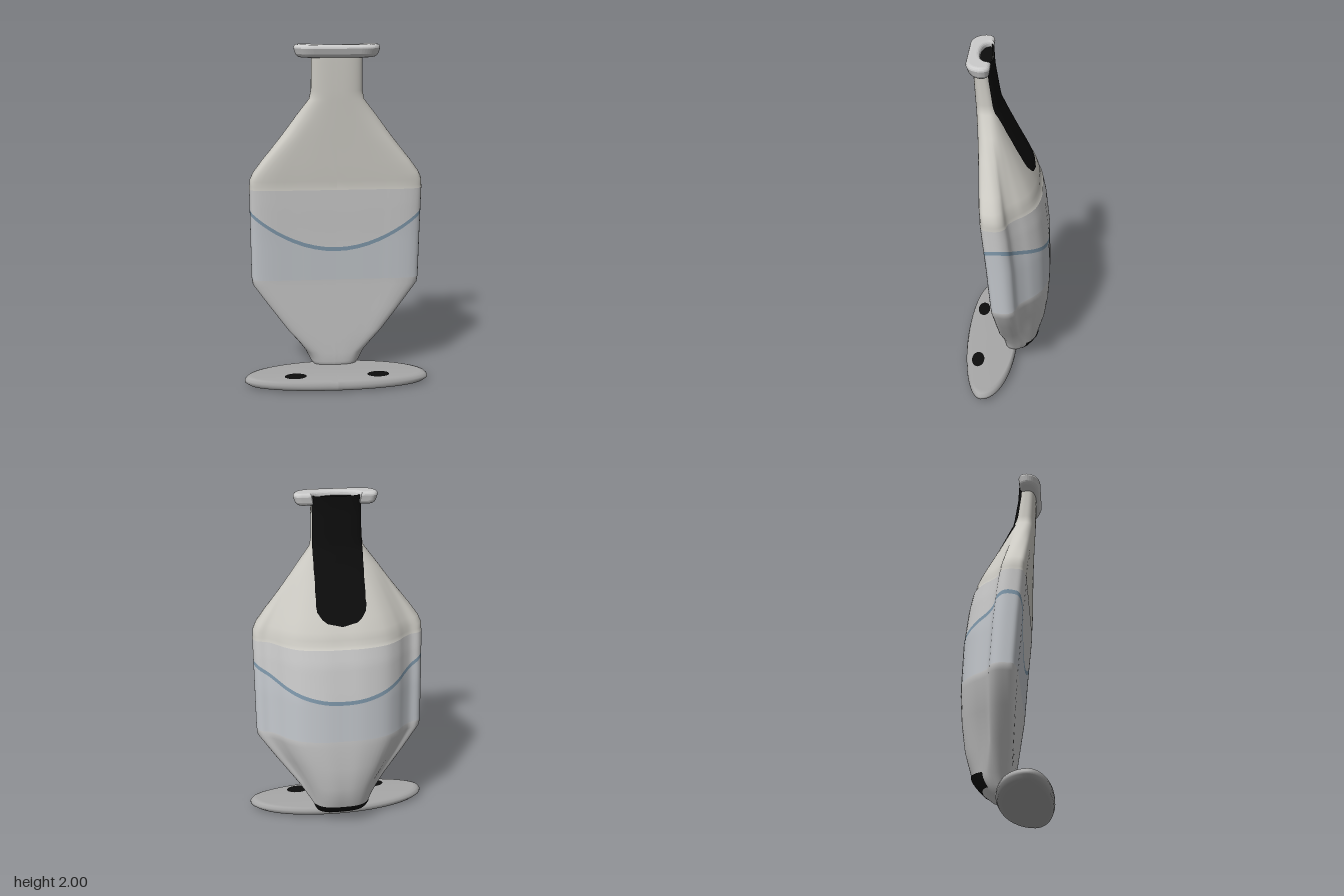
import * as THREE from 'three';

const DARK = 0x0c0c0c;
const COLS = 96;

// Height, half width, front z and back z of the vessel
const PROFILE = [
  [0.04, 0.002, -0.03, -0.034], [0.05, 0.12, 0.01, -0.09], [0.09, 0.15, 0.02, -0.14],
  [0.15, 0.18, 0.03, -0.19], [0.3, 0.281, 0.045, -0.23], [0.45, 0.385, 0.06, -0.248],
  [0.6, 0.485, 0.075, -0.255], [0.64, 0.49, 0.08, -0.255], [0.9, 0.49, 0.102, -0.245],
  [1.1, 0.49, 0.122, -0.22], [1.19, 0.49, 0.13, -0.2], [1.21, 0.488, 0.129, -0.185],
  [1.24, 0.486, 0.131, -0.18], [1.28, 0.468, 0.135, -0.165], [1.35, 0.42, 0.14, -0.13],
  [1.5, 0.305, 0.152, -0.05], [1.6, 0.23, 0.16, 0.0], [1.7, 0.152, 0.168, 0.04],
  [1.75, 0.142, 0.172, 0.05], [1.9, 0.14, 0.18, 0.075], [1.97, 0.14, 0.182, 0.08],
  [1.975, 0.002, 0.13, 0.128],
];

// Half outline: flat front, upright side panel, bulging back
const HALF = [[0, 0], [0.5, 0], [0.86, 0.01], [0.97, 0.06], [1, 0.17], [1, 0.32], [0.95, 0.42],
  [0.85, 0.47], [0.76, 0.58], [0.66, 0.74], [0.5, 0.9], [0.25, 0.99], [0, 1]];
const OUTLINE = new THREE.CatmullRomCurve3(
  [...HALF, ...HALF.slice(1, -1).reverse().map(([x, t]) => [-x, t])]
    .map(([x, t]) => new THREE.Vector3(x, t, 0)), true);

function profileAt(y) {
  let i = 1;
  while (i < PROFILE.length - 1 && PROFILE[i][0] < y) i++;
  const a = PROFILE[i - 1], b = PROFILE[i];
  const k = THREE.MathUtils.clamp((y - a[0]) / (b[0] - a[0]), 0, 1);
  return a.map((v, j) => v + (b[j] - v) * k);
}

// Point on the vessel: u runs round from the front centre, y is height
function surface(u, y, lift = 0) {
  const [, w, front, back] = profileAt(y);
  const p = OUTLINE.getPoint(((u % 1) + 1) % 1);
  // the shoulder and foot turn into a rounded oval
  const oval = Math.max(THREE.MathUtils.smoothstep(y, 1.25, 1.72), 1 - THREE.MathUtils.smoothstep(y, 0.08, 0.3));
  const s = Math.sin(u * Math.PI * 2), c = Math.cos(u * Math.PI * 2);
  const soft = (v) => Math.sign(v) * Math.pow(Math.abs(v), 0.7);
  const x = THREE.MathUtils.lerp(p.x, soft(s), oval);
  const t = THREE.MathUtils.lerp(p.y, (1 - soft(c)) / 2, oval);
  return [x * (w + lift), y, front + (back - front) * t - lift * 2 * (t - 0.4)];
}

function mesh(name, geometry, color = 0xcccccc, side = THREE.FrontSide) {
  const m = new THREE.Mesh(geometry, new THREE.MeshStandardMaterial({ color, side }));
  m.name = name;
  return m;
}

// Grid skin from a function of column and row fractions
function skin(cols, rows, pointAt) {
  const pos = [], index = [];
  for (let r = 0; r <= rows; r++) {
    for (let c = 0; c <= cols; c++) {
      pos.push(...pointAt(c / cols, r));
      if (r < rows && c < cols) {
        const a = r * (cols + 1) + c, d = a + cols + 1;
        index.push(a, a + 1, d, a + 1, d + 1, d);
      }
    }
  }
  const g = new THREE.BufferGeometry();
  g.setAttribute('position', new THREE.Float32BufferAttribute(pos, 3));
  g.setIndex(index);
  g.computeVertexNormals();
  return g;
}

// Rows between two heights, either of which may vary round the vessel
const band = (low, high, rows) => skin(COLS, rows, (u, r) => surface(u, THREE.MathUtils.lerp(low(u), high(u), r / rows)));
const level = (y) => () => y;

// Painted line dips at the front and the back
function lineY(u) {
  const x = OUTLINE.getPoint(u % 1).x;
  const low = u < 0.21 || u > 0.79 ? 0.83 : 0.88;
  return low + (1.05 - low) * x * x;
}

function roundedLip() {
  const s = new THREE.Shape();
  s.moveTo(-0.15, 0.1);
  s.lineTo(-0.19, 0.1);
  s.quadraticCurveTo(-0.215, 0.1, -0.215, 0.13);
  s.quadraticCurveTo(-0.205, 0.185, -0.13, 0.19);
  s.lineTo(0.13, 0.19);
  s.quadraticCurveTo(0.205, 0.185, 0.215, 0.13);
  s.quadraticCurveTo(0.215, 0.1, 0.19, 0.1);
  s.lineTo(0.15, 0.1);
  s.quadraticCurveTo(0.13, 0.165, 0, 0.165);
  s.quadraticCurveTo(-0.13, 0.165, -0.15, 0.1);
  const g = new THREE.ExtrudeGeometry(s, {
    depth: 0.03, bevelThickness: 0.02, bevelSize: 0.02, bevelSegments: 4, curveSegments: 10,
  });
  g.rotateX(Math.PI / 2).translate(0, 1.98, 0);
  // the underside draws in toward the neck
  const p = g.attributes.position;
  for (let i = 0; i < p.count; i++) {
    const k = THREE.MathUtils.clamp((1.97 - p.getY(i)) / 0.04, 0, 1);
    p.setX(i, p.getX(i) * (1 - 0.08 * k));
    p.setZ(i, THREE.MathUtils.lerp(p.getZ(i), 0.12, 0.25 * k));
  }
  g.computeVertexNormals();
  return g;
}

function footPlate() {
  const points = [[0, 0], [0.8, 0.004], [0.95, 0.012], [1, 0.03], [1, 0.045], [0.97, 0.062], [0.92, 0.068], [0, 0.07]];
  const g = new THREE.LatheGeometry(points.map(([r, y]) => new THREE.Vector2(r, y)), 64);
  // a wide oval, deeper behind its widest line than in front
  const p = g.attributes.position;
  for (let i = 0; i < p.count; i++) {
    const z = p.getZ(i);
    p.setXYZ(i, p.getX(i) * 0.545, p.getY(i), 0.13 + z * (z > 0 ? 0.125 : 0.19));
  }
  g.computeVertexNormals();
  return g;
}

// Dark strip down the back of the neck, with a rounded lower end
function backStrip() {
  const rows = 36, low = 1.31, high = 1.985;
  return skin(16, rows, (c, r) => {
    const y = THREE.MathUtils.lerp(low, high, r / rows);
    const end = Math.min(1, (y - low) / 0.1);
    const reach = Math.min(0.135, profileAt(Math.min(y, 1.96))[1] * 0.93) * Math.sqrt(end * (2 - end));
    let du = 0;
    while (du < 0.22 && Math.abs(surface(0.5 - du, Math.min(y, 1.96))[0]) < reach) du += 0.002;
    const [x, , z] = surface(0.5 + (c * 2 - 1) * du, Math.min(y, 1.96), 0.006);
    return [x, y, z];
  });
}

export function createModel() {
  const model = new THREE.Group();
  model.name = 'vase';

  // Vessel in stacked painted bands
  const base = PROFILE.slice(0, 8).map((p) => p[0]);
  model.add(mesh('lowerBody', skin(COLS, base.length - 1, (u, r) => surface(u, base[r])), 0xc6c6c6));
  model.add(mesh('middleBody', band(level(0.64), (u) => lineY(u) - 0.012, 10), 0xc2c6cb));
  model.add(mesh('paintedLine', band((u) => lineY(u) - 0.012, (u) => lineY(u) + 0.012, 2), 0x8099ac));
  model.add(mesh('upperBody', band((u) => lineY(u) + 0.012, level(1.19), 10), 0xcbcbc8));
  const top = PROFILE.slice(10, -1).map((p) => p[0]);
  model.add(mesh('shoulderAndNeck', skin(COLS, top.length - 1, (u, r) => surface(u, top[r])), 0xcdcbc4));

  // Mouth
  model.add(mesh('mouth', skin(COLS, 1, (u, r) => surface(u, r ? 1.975 : 1.97)), DARK));
  model.add(mesh('lip', roundedLip()));

  // Dark areas at the back
  model.add(mesh('backStrip', backStrip(), DARK, THREE.DoubleSide));
  model.add(mesh('footBand', skin(32, 3, (c, r) => surface(0.31 + 0.38 * c, 0.08 + r * 0.025, 0.004)), DARK, THREE.DoubleSide));

  // Foot plate with a dark mark on each side
  model.add(mesh('footPlate', footPlate(), 0xa8a8a8));
  for (const side of [-1, 1]) {
    const mark = mesh('footMark', new THREE.CircleGeometry(1, 20), DARK);
    mark.rotation.x = -Math.PI / 2;
    mark.scale.set(0.065, 0.038, 1);
    mark.position.set(side * 0.245, 0.073, 0.17);
    model.add(mark);
  }
  return model;
}
